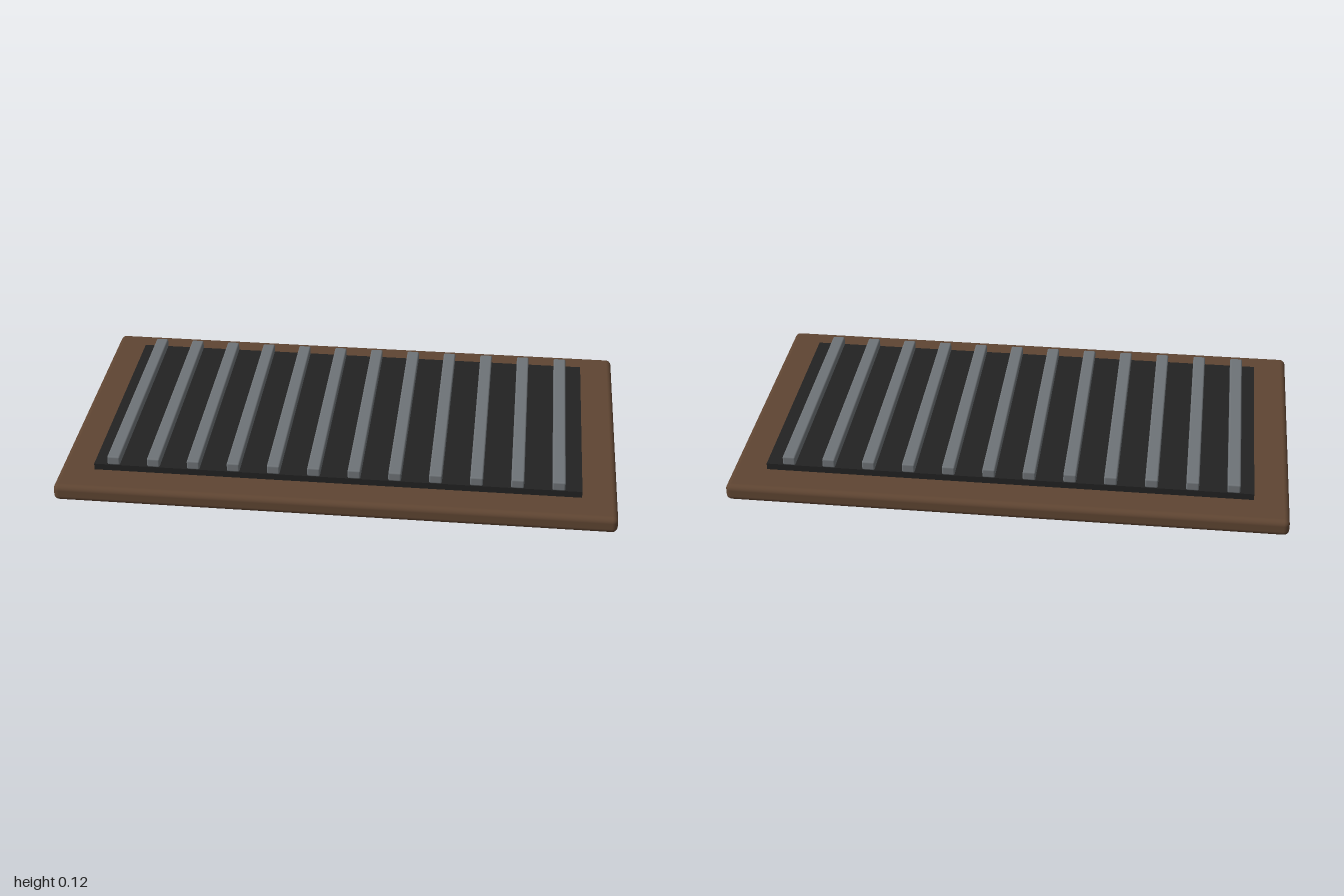
import * as THREE from 'three';
import { RoundedBoxGeometry } from 'three/addons/geometries/RoundedBoxGeometry.js';

const wood = new THREE.MeshStandardMaterial({ color: 0x5f4532 });
wood.name = 'brown wood';
const dark = new THREE.MeshStandardMaterial({ color: 0x222222 });
dark.name = 'black backing';
const metal = new THREE.MeshStandardMaterial({ color: 0x6e7377 });
metal.name = 'grey metal';

export function createModel() {
  const model = new THREE.Group();
  model.name = 'slattedVent';

  const add = (name, geometry, material, x, y) => {
    const mesh = new THREE.Mesh(geometry, material);
    mesh.name = name;
    mesh.position.set(x, y, 0);
    model.add(mesh);
  };

  // Rounded wooden base
  add('base', new RoundedBoxGeometry(2, 0.062, 1.15, 4, 0.02), wood, 0, 0.031);

  // Dark panel lying on the base
  add('panel', new THREE.BoxGeometry(1.75, 0.025, 0.9), dark, 0, 0.0735);

  // Row of twelve slats running front to back
  const slat = new RoundedBoxGeometry(0.046, 0.035, 0.9, 3, 0.006);
  for (let i = 0; i < 12; i++) {
    add(`slat${i + 1}`, slat, metal, -0.803 + i * 0.145, 0.102);
  }

  return model;
}
